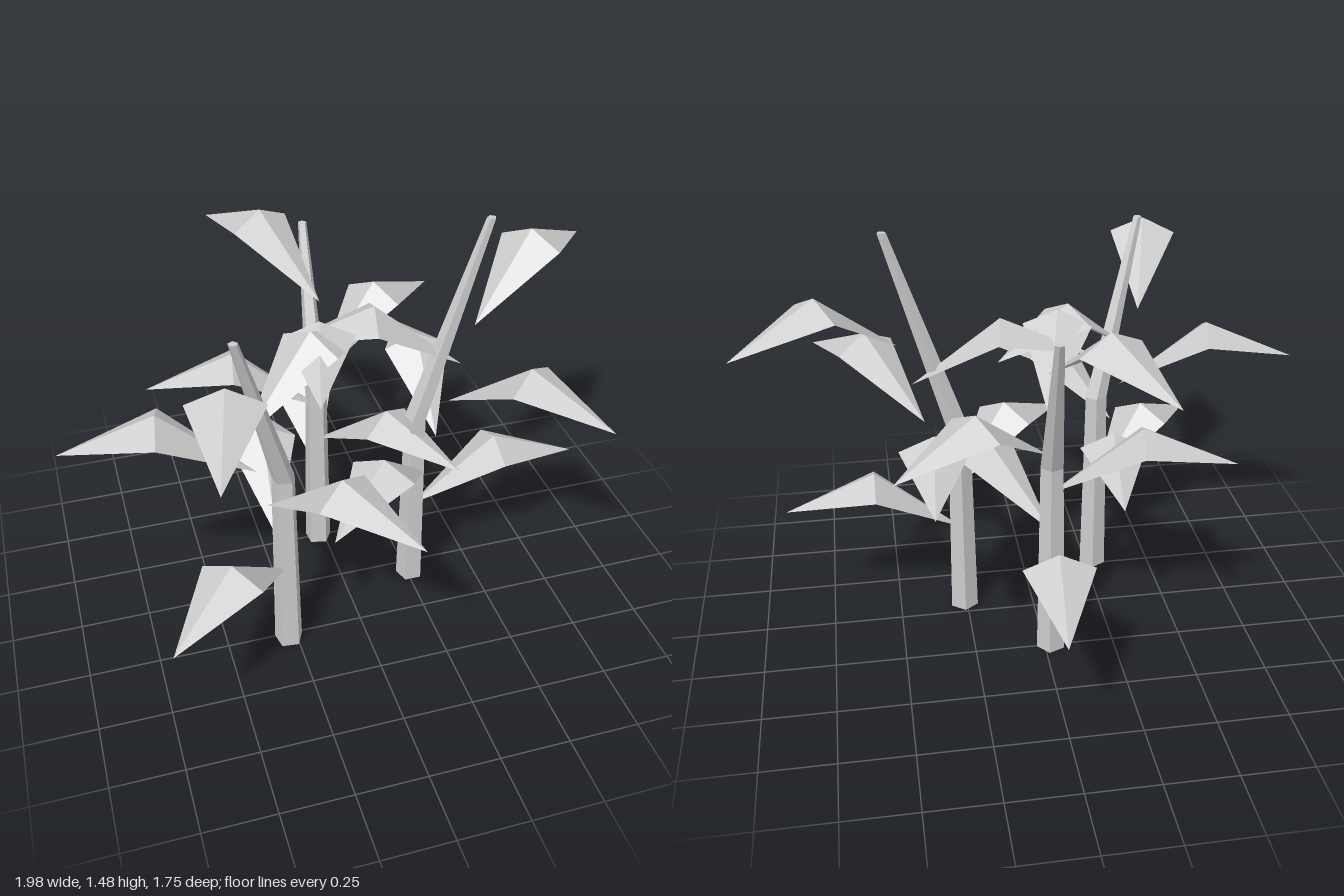
import * as THREE from 'three';

const GOLDEN = THREE.MathUtils.degToRad(137.5);
const material = new THREE.MeshStandardMaterial({ color: 0xcccccc, flatShading: true, side: THREE.DoubleSide });

// Five-sided stalk: upright to the bend, then leaning outward and thinning to its top
function stalkGeometry(topHeight, angle) {
  const rings = [
    { y: 0, r: 0.052, out: 0 },
    { y: 0.74, r: 0.041, out: 0 },
    { y: topHeight, r: 0.016, out: 0.232 },
  ];
  const geo = new THREE.CylinderGeometry(1, 1, 2, 5, 2);
  geo.rotateY(Math.PI + angle);
  const p = geo.attributes.position;
  for (let i = 0; i < p.count; i++) {
    const { y, r, out } = rings[Math.round(p.getY(i)) + 1];
    p.setXYZ(i, p.getX(i) * r + out * Math.cos(angle), y, p.getZ(i) * r + out * Math.sin(angle));
  }
  geo.computeVertexNormals();
  return geo;
}

// Folded, drooping leaf pointing along +x: base, ridge, two side corners, tip
function leafGeometry() {
  const geo = new THREE.BufferGeometry();
  geo.setAttribute('position', new THREE.Float32BufferAttribute([
    0, 0, 0,
    0.31, 0.25, 0,
    0.31, 0.195, -0.12,
    0.31, 0.195, 0.12,
    0.63, 0.12, 0,
  ], 3));
  geo.setIndex([0, 1, 2, 0, 3, 1, 1, 4, 2, 1, 3, 4]);
  geo.computeVertexNormals();
  return geo;
}

export function createModel() {
  const model = new THREE.Group();
  model.name = 'stalkCluster';
  const leafGeo = leafGeometry();
  const topHeights = [1.48, 1.38, 1.28];

  topHeights.forEach((topHeight, i) => {
    const angle = i * GOLDEN;
    const plant = new THREE.Group();
    plant.name = `plant${i + 1}`;
    plant.position.set(-0.05 + 0.31 * Math.cos(angle), 0, 0.06 + 0.31 * Math.sin(angle));

    const stalk = new THREE.Mesh(stalkGeometry(topHeight, angle), material);
    stalk.name = 'stalk';
    plant.add(stalk);

    // Six leaves spiral up each stalk
    for (let k = 0; k < 6; k++) {
      const leaf = new THREE.Mesh(leafGeo, material);
      leaf.name = `leaf${k + 1}`;
      leaf.position.set(0.04 * k * Math.cos(angle), 0.34 + 0.148 * k, 0);
      leaf.rotation.y = -(angle + k * GOLDEN);
      plant.add(leaf);
    }
    model.add(plant);
  });
  return model;
}
